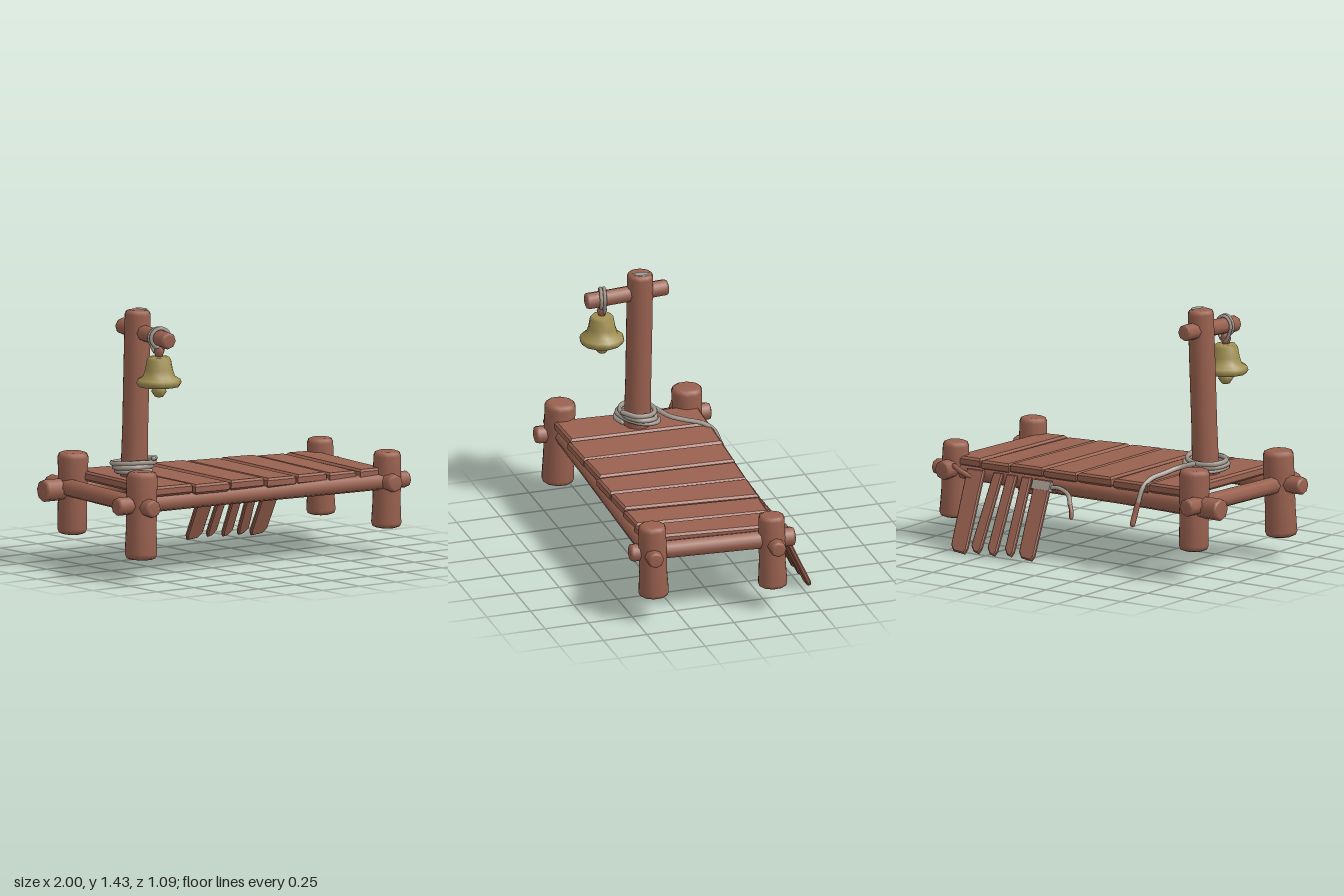
import * as THREE from 'three';

const wood = new THREE.MeshStandardMaterial({ color: 0x99614f });
wood.name = 'wood';
const brass = new THREE.MeshStandardMaterial({ color: 0xa08f52 });
brass.name = 'brass';
const rope = new THREE.MeshStandardMaterial({ color: 0xa59a90 });
rope.name = 'rope';

const V = (p) => new THREE.Vector3(...p);

function add(parent, name, geometry, material) {
  const mesh = new THREE.Mesh(geometry, material);
  mesh.name = name;
  parent.add(mesh);
  return mesh;
}

// Lathe from bottom-up [radius, height] pairs
const lathe = (pairs, sides) =>
  new THREE.LatheGeometry(pairs.map(([r, y]) => new THREE.Vector2(r, y)), sides);

// Slightly uneven log with rounded ends, running from a to b
function log(parent, name, a, b, ra, rb, sides = 10) {
  const start = V(a), axis = V(b).sub(start), len = axis.length();
  const bev = Math.min(ra, rb) * 0.25;
  const mid = (ra + rb) / 2;
  const geo = lathe([
    [0, 0], [ra - bev * 1.3, 0], [ra - bev * 0.4, bev * 0.4], [ra, bev * 1.4],
    [mid * 0.97, len * 0.35], [mid * 0.98, len * 0.7],
    [rb, len - bev * 1.4], [rb - bev * 0.4, len - bev * 0.4], [rb - bev * 1.3, len], [0, len],
  ], sides);
  const mesh = add(parent, name, geo, wood);
  mesh.position.copy(start);
  mesh.quaternion.setFromUnitVectors(new THREE.Vector3(0, 1, 0), axis.normalize());
  return mesh;
}

// Bevelled board from a flat outline
function board(parent, name, outline, depth, bevel) {
  const shape = new THREE.Shape(outline.map(([x, y]) => new THREE.Vector2(x, y)));
  const geo = new THREE.ExtrudeGeometry(shape, {
    depth: depth - 2 * bevel, bevelEnabled: true, bevelSegments: 1,
    bevelThickness: bevel, bevelSize: bevel, bevelOffset: -bevel,
  });
  return add(parent, name, geo, wood);
}

// Rope along a smooth path, with closed ends
function cord(parent, name, points, radius, material = rope, closed = false) {
  const curve = new THREE.CatmullRomCurve3(points.map(V), closed);
  const geo = new THREE.TubeGeometry(curve, points.length * 5, radius, 6, closed);
  add(parent, name, geo, material);
  if (closed) return;
  for (const p of [points[0], points[points.length - 1]]) {
    add(parent, name + 'End', new THREE.SphereGeometry(radius, 6, 4), material).position.set(...p);
  }
}

function buildFrame(root) {
  const frame = new THREE.Group();
  frame.name = 'dockFrame';
  root.add(frame);
  // Corner posts
  log(frame, 'frontRightPost', [-0.84, 0.13, 0.39], [-0.825, 0.61, 0.38], 0.092, 0.088);
  log(frame, 'backRightPost', [-0.765, 0.175, -0.335], [-0.765, 0.625, -0.325], 0.084, 0.088);
  log(frame, 'frontLeftPost', [0.82, 0.155, 0.4], [0.82, 0.575, 0.41], 0.086, 0.078);
  log(frame, 'backLeftPost', [0.875, 0.14, -0.265], [0.865, 0.56, -0.26], 0.083, 0.074);
  // Long rails, front and back
  log(frame, 'frontRail', [-1.0, 0.43, 0.375], [0.945, 0.41, 0.425], 0.05, 0.046, 8);
  log(frame, 'backRail', [-0.96, 0.425, -0.345], [1.0, 0.4, -0.26], 0.062, 0.045, 8);
  // Short rails at both ends
  log(frame, 'rightRail', [-0.845, 0.42, 0.52], [-0.81, 0.44, -0.475], 0.05, 0.05, 8);
  log(frame, 'leftRail', [0.79, 0.41, 0.53], [0.87, 0.415, -0.39], 0.05, 0.055, 8);
}

function buildDeck(root) {
  const deck = new THREE.Group();
  deck.name = 'deck';
  root.add(deck);
  // Each plank: back x range, front x range, back z, front z, height shift
  const planks = [
    [-0.74, -0.5, -0.79, -0.525, -0.375, 0.435, 0.004],
    [-0.495, -0.26, -0.52, -0.28, -0.37, 0.445, 0],
    [-0.24, -0.01, -0.27, -0.04, -0.355, 0.435, 0.004],
    [0.0, 0.22, -0.03, 0.17, -0.345, 0.445, 0],
    [0.23, 0.45, 0.185, 0.385, -0.335, 0.435, 0.003],
    [0.46, 0.65, 0.4, 0.585, -0.325, 0.435, -0.003],
    [0.66, 0.84, 0.605, 0.77, -0.31, 0.44, 0.002],
  ];
  planks.forEach(([b0, b1, f0, f1, zb, zf, dy], i) => {
    const plank = board(deck, 'plank' + (i + 1),
      [[f0, -zf], [f1, -zf + 0.01], [b1, -zb - 0.01], [b0, -zb]], 0.055, 0.012);
    plank.rotation.x = -Math.PI / 2;
    plank.position.y = 0.46 + dy;
  });
  deck.rotation.z = -0.022;
}

function buildMast(root) {
  const mast = new THREE.Group();
  mast.name = 'bellMast';
  root.add(mast);
  log(mast, 'mastPole', [-0.605, 0.45, 0.012], [-0.573, 1.43, 0.006], 0.078, 0.074);
  log(mast, 'crossbeam', [-0.588, 1.295, 0.315], [-0.57, 1.325, -0.15], 0.047, 0.046, 8);
  // Worn pale patch on the mast top
  const patch = add(mast, 'mastTopPatch', new THREE.CylinderGeometry(0.05, 0.054, 0.005, 8, 1, false, 0.2, 2.6), rope);
  patch.position.set(-0.573, 1.432, 0.006);

  // Rope coiled at the mast foot, with a tail over the back edge
  const coil = [];
  for (let i = 0; i <= 26; i++) {
    const a = i * 0.72 + 1.2, r = 0.108 + 0.014 * Math.sin(i * 1.3);
    coil.push([-0.605 + r * Math.cos(a), 0.545 + i * 0.0026 + 0.012 * Math.sin(a), 0.012 + r * Math.sin(a)]);
  }
  cord(mast, 'mastRopeCoil', coil, 0.014);
  cord(mast, 'mastRopeTail', [[-0.6, 0.59, -0.1], [-0.535, 0.57, -0.15], [-0.5, 0.55, -0.23],
    [-0.47, 0.53, -0.32], [-0.455, 0.49, -0.375], [-0.447, 0.41, -0.41]], 0.015);
  cord(mast, 'mastRopeTip', [[-0.447, 0.41, -0.41], [-0.442, 0.35, -0.43], [-0.44, 0.3, -0.45]], 0.017, wood);

  // Bell hanging from the crossbeam
  const bell = new THREE.Group();
  bell.name = 'bell';
  bell.position.set(-0.59, 1.03, 0.22);
  mast.add(bell);
  add(bell, 'bellBody', lathe([
    [0, 0.14], [0.045, 0.135], [0.06, 0.07], [0.095, 0.012], [0.112, 0.008], [0.124, 0.028], [0.118, 0.046],
    [0.088, 0.064], [0.076, 0.1], [0.066, 0.155], [0.054, 0.17], [0, 0.172],
  ], 12), brass);
  add(bell, 'clapper', lathe([
    [0, -0.055], [0.022, -0.05], [0.042, -0.022], [0.036, 0.005], [0.012, 0.025], [0.01, 0.14],
  ], 8), brass);
  add(bell, 'bellHanger', lathe([[0, 0.168], [0.018, 0.168], [0.03, 0.2], [0.02, 0.225], [0, 0.24]], 6), wood);
  // Rope loop round the beam
  const loop = (dz, drop) => Array.from({ length: 10 }, (_, i) => {
    const a = i * Math.PI / 5;
    return [0.003 + 0.053 * Math.cos(a), 0.273 + 0.053 * Math.sin(a) - (Math.sin(a) < -0.7 ? drop : 0), dz + 0.012 * Math.cos(a)];
  });
  cord(bell, 'bellRope', loop(0.008, 0), 0.011, rope, true);
  cord(bell, 'bellRopeSling', loop(-0.012, 0.03), 0.01, rope, true);
}

function buildSlats(root) {
  // Broken rack of slats leaning out behind the deck
  const rack = new THREE.Group();
  rack.name = 'hangingSlats';
  rack.position.set(0, 0.435, -0.335);
  rack.rotation.x = 0.435;
  root.add(rack);
  // Each slat: top x range, bottom x range, length
  const slats = [
    [0.165, 0.275, 0.155, 0.255, 0.455], [0.3, 0.362, 0.292, 0.35, 0.45], [0.395, 0.462, 0.4, 0.462, 0.46],
    [0.487, 0.55, 0.505, 0.57, 0.46], [0.61, 0.725, 0.595, 0.7, 0.473],
  ];
  slats.forEach(([t0, t1, b0, b1, len], i) => {
    const slat = board(rack, 'slat' + (i + 1), [
      [b0 + 0.012, -len], [b1 - 0.02, -len + 0.008], [b1 + 0.004, -len + 0.04],
      [t1, 0], [t0, 0], [b0, -len + 0.03],
    ], 0.026, 0.007);
    slat.position.z = -0.02;
  });
  // Pale lashing on the first slat
  const lash = add(rack, 'slatLashing', new THREE.BoxGeometry(0.118, 0.05, 0.034), rope);
  lash.position.set(0.221, -0.035, -0.013);
  // Loose rope end on one side, tie to the post on the other
  cord(root, 'looseRope', [[0.18, 0.405, -0.355], [0.1, 0.41, -0.365], [0.04, 0.385, -0.375], [0.01, 0.34, -0.4]], 0.013);
  cord(root, 'looseRopeTip', [[0.01, 0.34, -0.4], [-0.008, 0.31, -0.415], [-0.015, 0.275, -0.425]], 0.012, wood);
  cord(root, 'slatTie', [[0.69, 0.4, -0.37], [0.755, 0.425, -0.375], [0.81, 0.44, -0.35], [0.85, 0.43, -0.32]], 0.015, wood);
}

export function createModel() {
  const root = new THREE.Group();
  root.name = 'bellDock';
  buildFrame(root);
  buildDeck(root);
  buildMast(root);
  buildSlats(root);
  return root;
}
